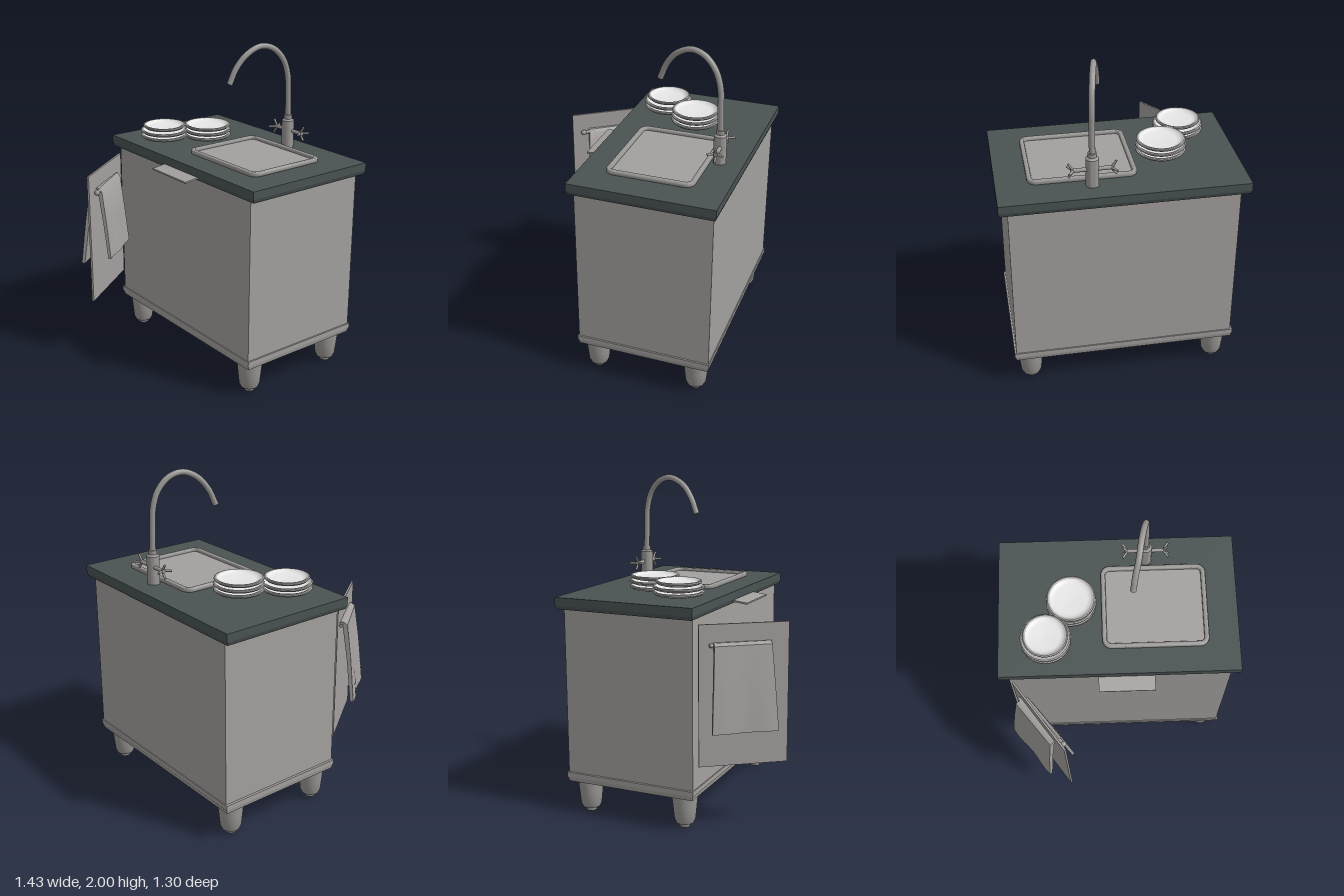
import * as THREE from 'three';
import { toCreasedNormals } from 'three/addons/utils/BufferGeometryUtils.js';

const mat = (name, color) => {
  const m = new THREE.MeshStandardMaterial({ color });
  m.name = name;
  return m;
};

// Rounded rectangle outline centred on the origin
function roundedRect(Path, w, d, r) {
  const p = new Path(), x = w / 2, y = d / 2;
  p.moveTo(-x + r, -y);
  p.lineTo(x - r, -y).absarc(x - r, -y + r, r, -Math.PI / 2, 0);
  p.lineTo(x, y - r).absarc(x - r, y - r, r, 0, Math.PI / 2);
  p.lineTo(-x + r, y).absarc(-x + r, y - r, r, Math.PI / 2, Math.PI);
  p.lineTo(-x, -y + r).absarc(-x + r, -y + r, r, Math.PI, Math.PI * 1.5);
  return p;
}

// Box between two corners, its bottom face drawn in by an inset
function block(x0, x1, y0, y1, z0, z1, inset = 0) {
  const g = new THREE.BoxGeometry(x1 - x0, y1 - y0, z1 - z0);
  const p = g.attributes.position;
  for (let i = 0; i < p.count; i++) {
    if (p.getY(i) < 0) {
      p.setX(i, p.getX(i) - Math.sign(p.getX(i)) * inset);
      p.setZ(i, p.getZ(i) - Math.sign(p.getZ(i)) * inset);
    }
  }
  g.computeVertexNormals();
  g.translate((x0 + x1) / 2, (y0 + y1) / 2, (z0 + z1) / 2);
  return g;
}

function lathe(points, segments = 32) {
  const g = new THREE.LatheGeometry(points.map(([r, y]) => new THREE.Vector2(r, y)), segments);
  return toCreasedNormals(g, 0.6);
}

export function createModel() {
  const model = new THREE.Group();
  model.name = 'kitchenSinkCabinet';
  const grey = mat('cabinetGrey', 0xa3a09e);
  const dark = mat('worktopSlate', 0x4a5252);
  const metal = mat('brushedMetal', 0x9a9896);
  const white = mat('plateWhite', 0xe6e6e6);
  const rimGrey = mat('plateRim', 0xb4b3b1);

  const add = (name, geometry, material, parent = model) => {
    const m = new THREE.Mesh(geometry, material);
    m.name = name;
    parent.add(m);
    return m;
  };
  const rod = (name, a, b, r, parent) => {
    const from = new THREE.Vector3(...a), to = new THREE.Vector3(...b);
    const dir = to.clone().sub(from);
    const m = add(name, new THREE.CylinderGeometry(r, r, dir.length(), 12), metal, parent);
    m.position.copy(from).add(to).multiplyScalar(0.5);
    m.quaternion.setFromUnitVectors(new THREE.Vector3(0, 1, 0), dir.normalize());
    return m;
  };

  // Carcass, plinth and worktop
  add('cabinetBody', block(-0.665, 0.662, 0.25, 1.27, -0.622, 0.2), grey);
  add('plinth', block(-0.68, 0.672, 0.228, 0.257, -0.628, 0.207), grey);
  add('plinthBase', block(-0.677, 0.669, 0.2, 0.228, -0.625, 0.204, 0.006), grey);
  add('worktop', block(-0.72, 0.714, 1.285, 1.333, -0.65, 0.225), dark);
  add('worktopUnderside', block(-0.72, 0.714, 1.262, 1.285, -0.65, 0.225, 0.008), dark);

  // Feet
  const legShape = lathe([[0, 0.008], [0.033, 0.008], [0.036, 0.022], [0.052, 0.026],
    [0.063, 0.05], [0.07, 0.12], [0.077, 0.19], [0.077, 0.205], [0, 0.205]]);
  const padShape = lathe([[0, 0], [0.03, 0], [0.033, 0.012], [0, 0.012]]);
  for (const x of [-0.58, 0.57]) for (const z of [0.11, -0.522]) {
    const leg = new THREE.Group();
    leg.name = 'leg';
    leg.position.set(x, 0, z);
    add('foot', legShape, metal, leg);
    add('footPad', padShape, metal, leg);
    model.add(leg);
  }

  // Tilted drawer panel under the front edge
  const drawer = add('pullOutPanel', new THREE.BoxGeometry(0.335, 0.01, 0.13), grey);
  drawer.position.set(0.037, 1.274, 0.248);
  drawer.rotation.x = 0.12;

  // Sink: rounded rim around a shallow floor
  const sink = new THREE.Group();
  sink.name = 'sink';
  sink.position.set(0.215, 0, -0.195);
  const rimShape = roundedRect(THREE.Shape, 0.615, 0.51, 0.045);
  rimShape.holes.push(roundedRect(THREE.Path, 0.595, 0.49, 0.035));
  const rimGeo = new THREE.ExtrudeGeometry(rimShape, {
    depth: 0.012, bevelEnabled: true, bevelSize: 0.009, bevelThickness: 0.009, bevelSegments: 3, curveSegments: 8,
  });
  rimGeo.rotateX(-Math.PI / 2).translate(0, 1.338, 0);
  add('sinkRim', toCreasedNormals(rimGeo, 0.7), metal, sink);
  const floorGeo = new THREE.ShapeGeometry(roundedRect(THREE.Shape, 0.6, 0.495, 0.04));
  floorGeo.rotateX(-Math.PI / 2).translate(0, 1.339, 0);
  add('sinkFloor', floorGeo, grey, sink);
  model.add(sink);

  // Tap: stem, swan neck and cross handles
  const tap = new THREE.Group();
  tap.name = 'tap';
  const stem = lathe([[0, 1.333], [0.038, 1.333], [0.038, 1.505], [0.025, 1.515], [0.025, 1.54], [0, 1.54]], 24);
  add('tapStem', stem, metal, tap).position.set(0.172, 0, -0.507);
  const neck = new THREE.CatmullRomCurve3([
    [0.172, 1.53, -0.507], [0.172, 1.68, -0.502], [0.17, 1.79, -0.496], [0.163, 1.89, -0.463],
    [0.148, 1.962, -0.395], [0.13, 1.983, -0.31], [0.112, 1.94, -0.215],
    [0.092, 1.86, -0.15], [0.081, 1.772, -0.112],
  ].map((p) => new THREE.Vector3(...p)));
  add('tapNeck', new THREE.TubeGeometry(neck, 48, 0.018, 14), metal, tap);
  const cap = add('spoutEnd', new THREE.CylinderGeometry(0.018, 0.018, 0.01, 14), metal, tap);
  cap.position.copy(neck.getPoint(1));
  cap.quaternion.setFromUnitVectors(new THREE.Vector3(0, 1, 0), neck.getTangent(1));
  rod('handleBar', [0.05, 1.44, -0.515], [0.295, 1.44, -0.515], 0.012, tap);
  for (const side of [-1, 1]) {
    const hx = 0.172 + side * 0.105, tx = 0.172 + side * 0.136;
    for (const [dy, dz] of [[1, 0], [-1, 0], [0, 1], [0, -1]]) {
      rod('handleProng', [hx, 1.44, -0.515],
        [tx, 1.44 + dy * 0.042, -0.515 + dz * 0.046], 0.007, tap);
    }
  }
  model.add(tap);

  // Two stacks of three plates
  const outer = lathe([[0, 0], [0.1, 0], [0.135, 0.008], [0.15, 0.02], [0.15, 0.028], [0.143, 0.031], [0.13, 0.028]], 40);
  const dish = new THREE.LatheGeometry([[0.131, 0.029], [0.122, 0.02], [0.1, 0.013], [0, 0.01]]
    .map(([r, y]) => new THREE.Vector2(r, y)), 40);
  for (const [x, z, topScale] of [[-0.28, -0.22, 0.97], [-0.435, -0.01 + 0.02, 0.89]]) {
    const stack = new THREE.Group();
    stack.name = 'plateStack';
    stack.position.set(x, 1.342, z);
    for (let i = 0; i < 3; i++) {
      const plate = new THREE.Group();
      plate.name = 'plate';
      plate.position.y = i * 0.031;
      if (i === 2) plate.scale.set(topScale, 1, topScale);
      add('plateBody', outer, rimGrey, plate);
      add('plateDish', dish, white, plate);
      stack.add(plate);
    }
    model.add(stack);
  }

  // Open door, hinged at the right front corner
  const door = new THREE.Group();
  door.name = 'openDoor';
  door.position.set(-0.64, 0, 0.225);
  door.rotation.y = -Math.atan2(0.425, 0.305);
  add('doorPanel', block(0, 0.522, 0.4, 1.228, -0.006, 0.006), grey, door);
  rod('towelBar', [0.06, 1.108, 0.016], [0.455, 1.108, -0.03], 0.011, door);
  const knob = add('towelBarEnd', new THREE.SphereGeometry(0.018, 16, 12), metal, door);
  knob.position.set(0.455, 1.108, -0.03);

  // Towel folded over the bar: a bent strip, wider toward its hems
  const profile = [[-0.105, 0.62], [-0.085, 0.616], [-0.05, 0.9], [-0.017, 1.095], [0.012, 1.095], [0.045, 0.9],
    [0.077, 0.666], [0.095, 0.67], [0.066, 0.9], [0.038, 1.1], [0.018, 1.122], [-0.022, 1.125], [-0.045, 1.11], [-0.075, 0.9]];
  const towel = new THREE.ExtrudeGeometry(new THREE.Shape(profile.map(([x, y]) => new THREE.Vector2(x, y))),
    { depth: 1, steps: 10, bevelEnabled: false });
  towel.rotateY(Math.PI / 2);
  const p = towel.attributes.position;
  for (let i = 0; i < p.count; i++) {
    const t = p.getX(i), drop = (1.12 - p.getY(i)) / 0.5;
    const start = 0.082 + (p.getZ(i) > 0 ? -0.025 : 0.02) * drop;
    p.setX(i, start + (0.415 + 0.028 * drop - start) * t);
    p.setZ(i, p.getZ(i) - 0.012 * (t - 0.5) + 0.005 * drop * Math.sin(t * 9));
  }
  towel.computeVertexNormals();
  add('towel', toCreasedNormals(towel, 0.7), grey, door);
  model.add(door);

  return model;
}
